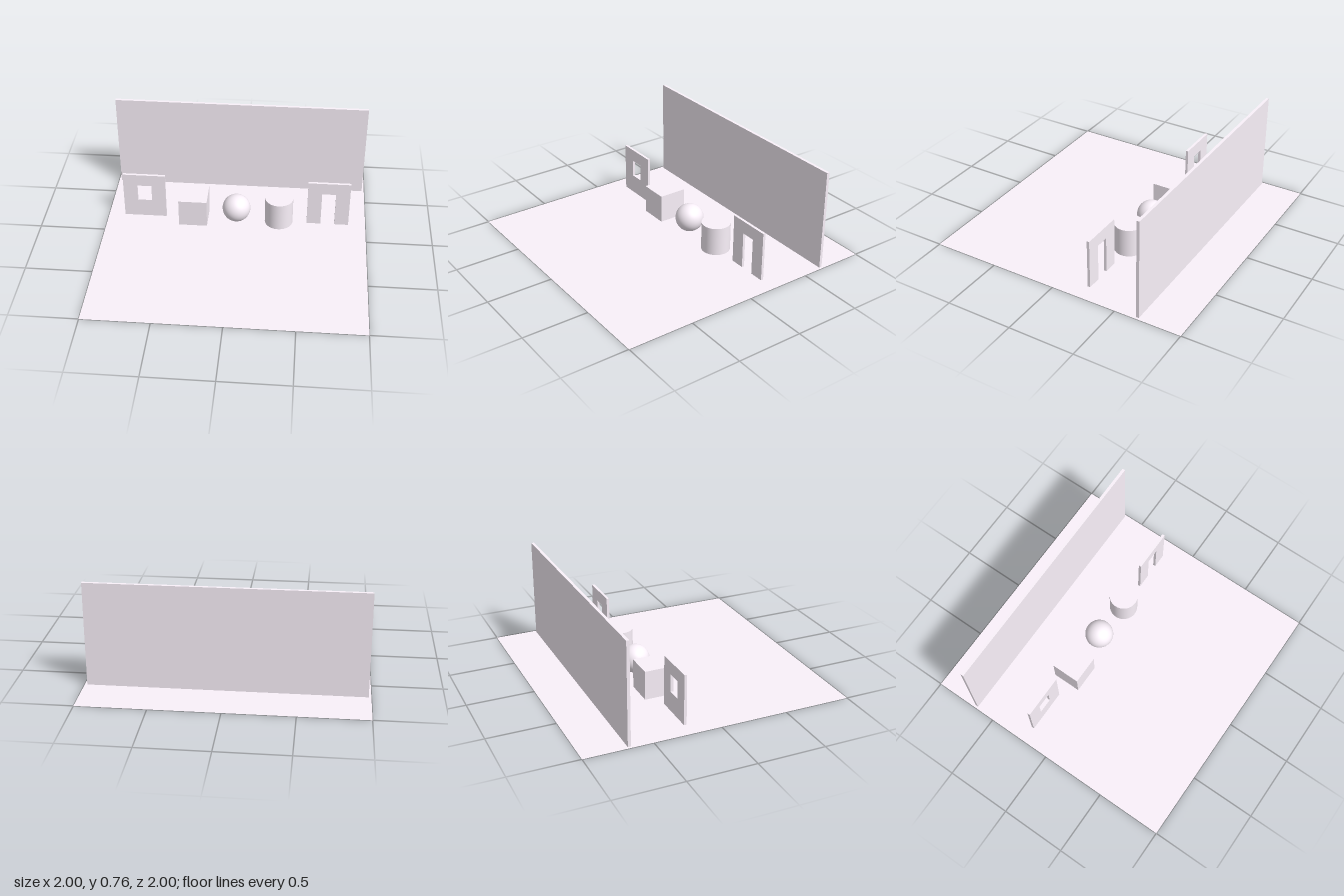
import * as THREE from 'three';

export function createModel() {
  const group = new THREE.Group();
  const material = new THREE.MeshStandardMaterial({ color: 0xfaf1fa });
  const rowZ = -0.213; // the small objects share one line

  function add(name, geometry, x, y, z, mat = material) {
    const mesh = new THREE.Mesh(geometry, mat);
    mesh.name = name;
    mesh.position.set(x, y, z);
    group.add(mesh);
  }

  // Rectangle outline from its corner limits
  function trace(path, x0, x1, y0, y1) {
    path.moveTo(x0, y0);
    path.lineTo(x1, y0);
    path.lineTo(x1, y1);
    path.lineTo(x0, y1);
    path.closePath();
    return path;
  }

  // Upright slab extruded symmetrically about z = 0
  function slab(shape, depth) {
    return new THREE.ExtrudeGeometry(shape, { depth, bevelEnabled: false })
      .translate(0, 0, -depth / 2);
  }

  // Flat square floor, seen from both sides
  const floorMaterial = material.clone();
  floorMaterial.side = THREE.DoubleSide;
  add('floor', new THREE.PlaneGeometry(2, 2).rotateX(-Math.PI / 2), 0, 0, 0, floorMaterial);

  // Tall wall behind the row
  add('backWall', new THREE.BoxGeometry(1.964, 0.765, 0.022), 0, 0.3825, -0.666);

  // Panel with a square window
  const windowShape = trace(new THREE.Shape(), -0.163, 0.163, 0, 0.379);
  windowShape.holes.push(trace(new THREE.Path(), -0.055, 0.055, 0.149, 0.282));
  add('windowPanel', slab(windowShape, 0.02), -0.712, 0, rowZ);

  // Panel with a doorway open at the floor
  const doorShape = new THREE.Shape([
    [-0.161, 0], [-0.053, 0], [-0.053, 0.282], [0.053, 0.282],
    [0.053, 0], [0.161, 0], [0.161, 0.379], [-0.161, 0.379],
  ].map(([x, y]) => new THREE.Vector2(x, y)));
  add('doorPanel', slab(doorShape, 0.02), 0.707, 0, rowZ);

  // Cube, ball and cylinder
  add('cube', new THREE.BoxGeometry(0.217, 0.221, 0.217), -0.33, 0.1105, rowZ);
  add('ball', new THREE.SphereGeometry(0.108, 48, 32), 0, 0.109, rowZ);
  add('cylinder', new THREE.CylinderGeometry(0.108, 0.108, 0.221, 64), 0.329, 0.1105, rowZ);

  return group;
}
